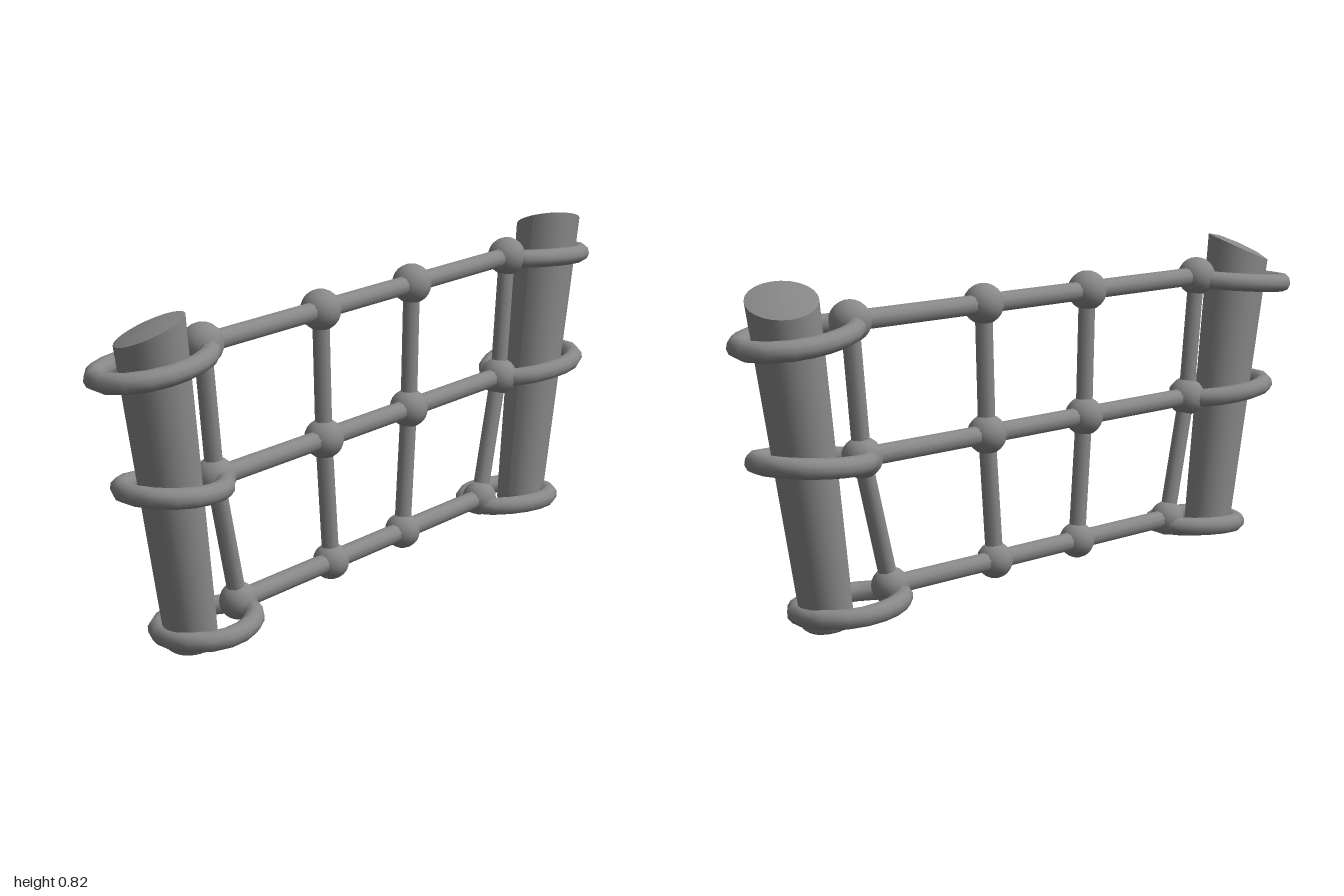
import * as THREE from 'three';

const material = new THREE.MeshStandardMaterial({ color: 0x888888 });

function addMesh(parent, name, geometry) {
  const mesh = new THREE.Mesh(geometry, material);
  mesh.name = name;
  parent.add(mesh);
  return mesh;
}

// Post profile: rounded foot, widening shaft, sharp rim and slightly domed top
const postProfile = [
  [0, 0], [0.052, 0], [0.062, 0.012], [0.063, 0.04], [0.085, 1], [0.085, 1], [0.055, 1.009], [0, 1.013]
].map(([r, t]) => new THREE.Vector2(r, t));

// Leaning post with a slanted top cut; side is +1 (front) or -1 (back)
function postGeometry(side) {
  const geo = new THREE.LatheGeometry(postProfile, 24);
  const p = geo.attributes.position;
  for (let i = 0; i < p.count; i++) {
    const x = p.getX(i), z = p.getZ(i);
    const foot = 0.01 - 0.168 * side * z;
    const top = 0.787 + 0.29 * x - 0.3 * side * z;
    const y = THREE.MathUtils.lerp(foot, top, p.getY(i));
    p.setXYZ(i, x, y, z + side * (0.716 + 0.168 * y));
  }
  geo.computeVertexNormals();
  return geo;
}

// Egg-shaped loop, wider at the post than at the knot, tilted lengthways and slightly sideways
function loopGeometry({ outer, inner, yOuter, yInner, x = 0, rx = 0.102, roll = 0 }) {
  const points = [];
  for (let i = 0; i < 16; i++) {
    const a = (i / 16) * Math.PI * 2;
    const s = Math.sin(a), c = Math.cos(a), k = (1 + c) / 2;
    points.push(new THREE.Vector3(
      x * (1 - k) + rx * s * (1 - 0.15 * c),
      THREE.MathUtils.lerp(yOuter, yInner, k) + roll * s,
      THREE.MathUtils.lerp(outer, inner, k)
    ));
  }
  const curve = new THREE.CatmullRomCurve3(points, true);
  return new THREE.TubeGeometry(curve, 16, 0.0245, 10, true);
}

// Straight rope between two points
function addRope(parent, name, a, b, radius) {
  const rope = addMesh(parent, name, new THREE.CylinderGeometry(radius, radius, a.distanceTo(b), 10, 1, true));
  rope.position.copy(a).lerp(b, 0.5);
  rope.quaternion.setFromUnitVectors(new THREE.Vector3(0, 1, 0), b.clone().sub(a).normalize());
}

export function createModel() {
  const model = new THREE.Group();
  model.name = 'netBetweenPosts';

  // Net rows from bottom to top: knot positions along z, and loop ends at the posts
  const rows = [
    { y: 0.072, z: [0.545, 0.171, -0.144, -0.513], r: 0.046, outer: 0.785, yOuter: 0.042, yInner: 0.055 },
    { y: 0.395, z: [0.625, 0.198, -0.171, -0.602], r: 0.05, outer: 0.908, yOuter: 0.418, yInner: 0.392 },
    { y: 0.72, z: [0.663, 0.209, -0.182, -0.636], r: 0.051, outer: 0.975, yOuter: 0.686, yInner: 0.713, x: -0.02, rx: 0.097, roll: 0.004 }
  ];
  const knots = rows.map(row => row.z.map(z => new THREE.Vector3(0, row.y, z)));

  // Posts
  for (const side of [1, -1]) {
    addMesh(model, side > 0 ? 'frontPost' : 'backPost', postGeometry(side));
  }

  // Loops around the posts
  const loops = new THREE.Group();
  loops.name = 'postLoops';
  model.add(loops);
  rows.forEach((row, i) => {
    const slack = i === 0 ? 0.018 : 0;
    addMesh(loops, 'frontLoop', loopGeometry({ ...row, inner: row.z[0] - slack }));
    addMesh(loops, 'backLoop', loopGeometry({ ...row, outer: -row.outer, inner: row.z[3] + slack }));
  });

  // Ropes and knots of the net
  const net = new THREE.Group();
  net.name = 'net';
  model.add(net);
  knots.forEach((row, i) => row.forEach((knot, j) => {
    addMesh(net, 'knot', new THREE.SphereGeometry(rows[i].r, 16, 12)).position.copy(knot);
    if (j < 3) addRope(net, 'horizontalRope', knot, row[j + 1], 0.0245);
    if (i < 2) addRope(net, 'verticalRope', knot, knots[i + 1][j], 0.022);
  }));

  return model;
}
